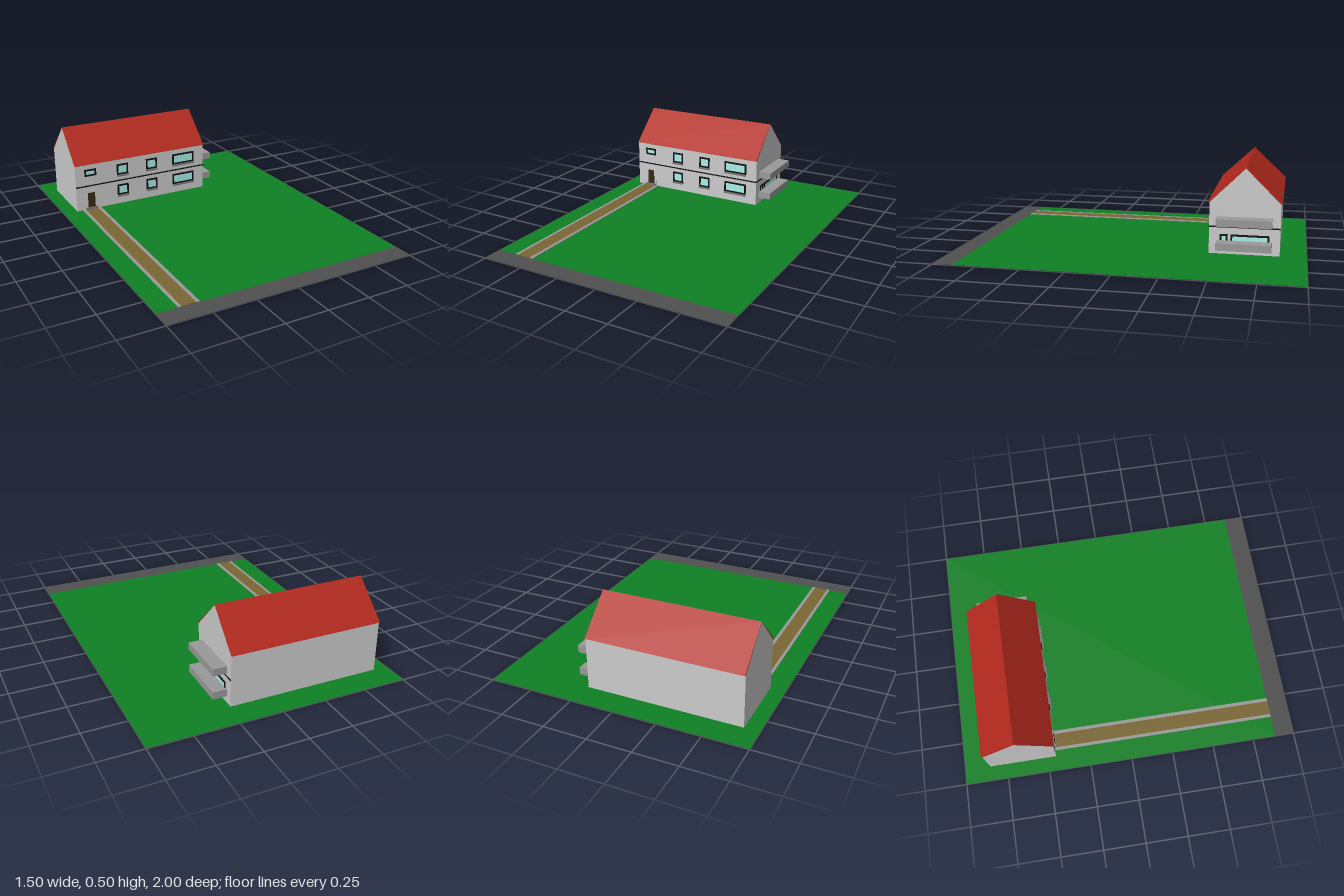
import * as THREE from 'three';

const mat = (color, side = THREE.FrontSide) => new THREE.MeshStandardMaterial({ color, side });
const M = {
  wall: mat(0xcccccc), roof: mat(0xb0281c), grass: mat(0x0f8024, THREE.DoubleSide),
  road: mat(0x505050, THREE.DoubleSide), gravel: mat(0x7a6633), kerb: mat(0x999999),
  balcony: mat(0x999999), sill: mat(0x777777), frame: mat(0x111111), glass: mat(0xa8f0e8), door: mat(0x3a2a12),
};

// House extents
const X0 = -0.665, X1 = 0.23, ZF = -0.45, ZB = -0.85, ZM = -0.65, EAVE = 0.3, RIDGE = 0.5, G = 0.003;

export function createModel() {
  const root = new THREE.Group();
  const add = (name, geometry, material, parent = root) => {
    const mesh = new THREE.Mesh(geometry, material);
    mesh.name = name;
    parent.add(mesh);
    return mesh;
  };
  // Box given by its minimum and maximum corners
  const box = (name, material, [x0, y0, z0], [x1, y1, z1], parent) => {
    const mesh = add(name, new THREE.BoxGeometry(x1 - x0, y1 - y0, z1 - z0), material, parent);
    mesh.position.set((x0 + x1) / 2, (y0 + y1) / 2, (z0 + z1) / 2);
    return mesh;
  };
  // Flat sheet on the ground
  const sheet = (name, material, z0, z1) => {
    const mesh = add(name, new THREE.PlaneGeometry(1.5, z1 - z0).rotateX(-Math.PI / 2), material);
    mesh.position.set(0, G, (z0 + z1) / 2);
  };
  // Cross-section of [z offset, y] points swept along the length of the house
  const sweep = (name, material, points) => {
    const shape = new THREE.Shape(points.map(([z, y]) => new THREE.Vector2(-z, y)));
    const geometry = new THREE.ExtrudeGeometry(shape, { depth: X1 - X0, bevelEnabled: false });
    geometry.rotateY(Math.PI / 2);
    add(name, geometry, material).position.set(X0, 0, ZM);
  };

  // Lawn, road and path with kerbs
  sheet('lawn', M.grass, -1, 0.885);
  sheet('road', M.road, 0.885, 1);
  box('path', M.gravel, [-0.612, 0, -0.6], [-0.53, 0.006, 0.885]);
  for (const [a, b] of [[-0.63, -0.612], [-0.53, -0.51]])
    box('pathKerb', M.kerb, [a, 0, -0.6], [b, 0.007, 0.885]);

  // Walls with gables, and the two thin roof slopes
  sweep('walls', M.wall, [[0.2, G], [0.2, EAVE], [0, RIDGE - 0.002], [-0.2, EAVE], [-0.2, G]]);
  for (const s of [1, -1])
    sweep(s > 0 ? 'frontRoof' : 'backRoof', M.roof,
      [[0, RIDGE - 0.002], [0, RIDGE], [s * 0.209, EAVE + 0.004], [s * 0.2, EAVE]]);

  // Floor band on the front and the balcony side
  box('frontBand', M.frame, [X0, 0.156, ZF], [X1 + 0.002, 0.164, ZF + 0.002]);
  box('sideBand', M.frame, [X1, 0.156, ZB], [X1 + 0.002, 0.164, ZF]);

  // Window in a local frame: u to the right, y up, facing local +z
  const windowUnit = (name, u0, u1, y0, y1, sill) => {
    const group = new THREE.Group();
    group.name = name;
    const shape = new THREE.Shape([[u0, y0], [u1, y0], [u1, y1], [u0, y1]].map(p => new THREE.Vector2(...p)));
    const t = 0.011;
    shape.holes.push(new THREE.Path(
      [[u0 + t, y0 + t], [u0 + t, y1 - t], [u1 - t, y1 - t], [u1 - t, y0 + t]].map(p => new THREE.Vector2(...p))));
    add('windowFrame', new THREE.ExtrudeGeometry(shape, { depth: 0.004, bevelEnabled: false }), M.frame, group);
    box('glass', M.glass, [u0 + t, y0 + t, 0], [u1 - t, y1 - t, 0.002], group);
    if (sill) box('sill', M.sill, [u0, y0 - 0.009, 0], [u1, y0 + 0.001, 0.013], group);
    root.add(group);
    return group;
  };

  // Front windows on both floors
  for (const base of [0.061, 0.199])
    for (const [a, b] of [[-0.39, -0.313], [-0.187, -0.11], [0.002, 0.158]])
      windowUnit('frontWindow', a, b, base, base + 0.071, true).position.z = ZF;
  windowUnit('smallWindow', -0.605, -0.528, 0.225, 0.27, false).position.z = ZF;

  // Side door and window behind the lower balcony
  for (const [z0, z1] of [[0.512, 0.557], [0.572, 0.79]]) {
    const unit = windowUnit('sideWindow', z0, z1, 0.05, 0.118, false);
    unit.rotation.y = Math.PI / 2;
    unit.position.x = X1;
  }

  // Front door with surround and step
  box('doorSurround', M.wall, [-0.605, 0.01, ZF], [-0.53, 0.13, ZF + 0.003]);
  box('door', M.door, [-0.591, 0.018, ZF], [-0.544, 0.114, ZF + 0.005]);
  box('doorStep', M.sill, [-0.605, G, ZF], [-0.53, 0.018, ZF + 0.012]);

  // Balconies
  for (const [name, y0, y1] of [['lowerBalcony', 0.04, 0.082], ['upperBalcony', 0.178, 0.22]])
    box(name, M.balcony, [X1, y0, -0.805], [0.31, y1, -0.495]);

  return root;
}
